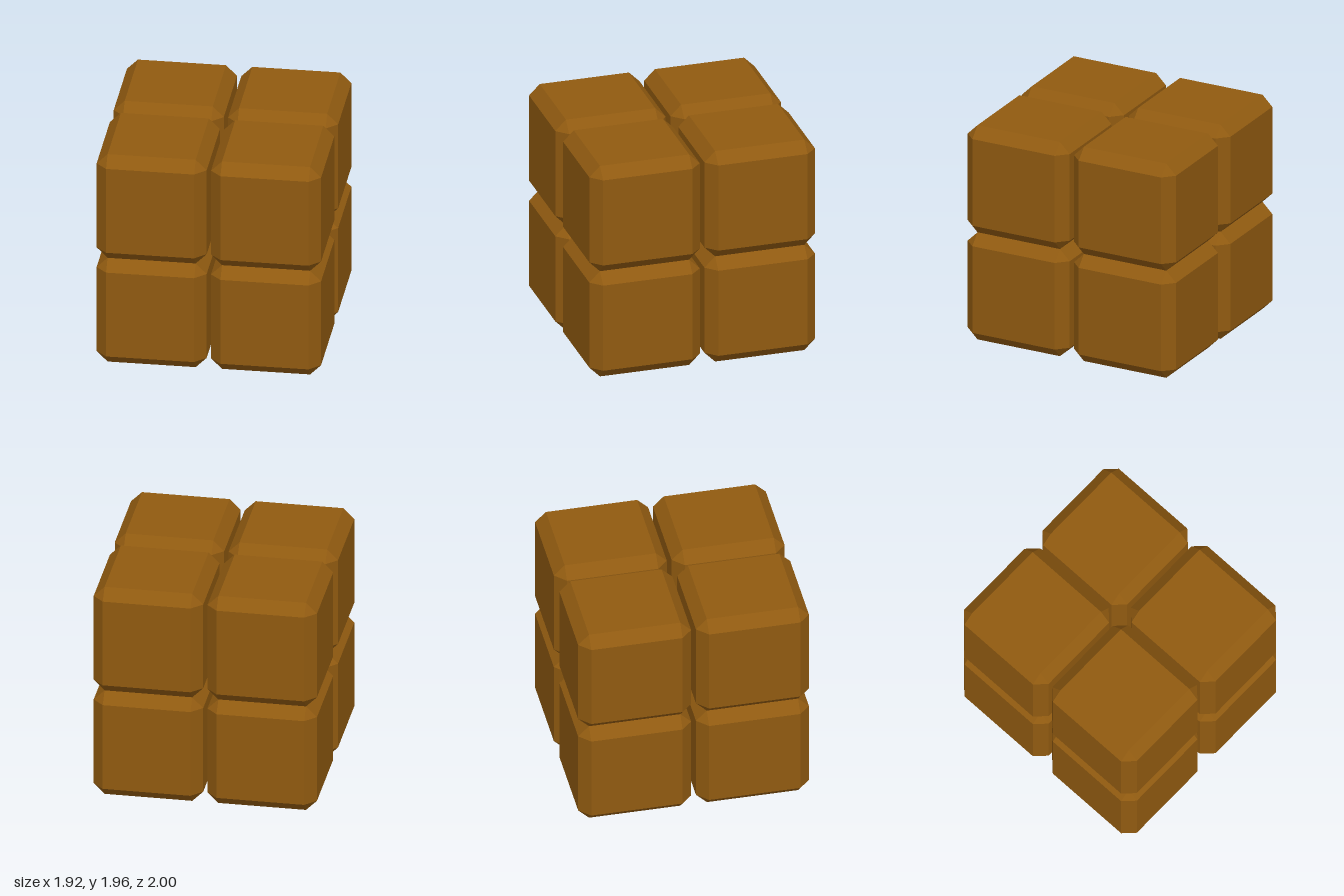
import * as THREE from 'three';
import { ConvexGeometry } from 'three/addons/geometries/ConvexGeometry.js';

// Box with all edges cut at 45 degrees and a triangle at each corner
function chamferedBox(w, h, d, c) {
  const points = [];
  for (const sx of [-1, 1]) for (const sy of [-1, 1]) for (const sz of [-1, 1]) {
    const x = w / 2, y = h / 2, z = d / 2;
    points.push(
      new THREE.Vector3(sx * x, sy * (y - c), sz * (z - c)),
      new THREE.Vector3(sx * (x - c), sy * y, sz * (z - c)),
      new THREE.Vector3(sx * (x - c), sy * (y - c), sz * z)
    );
  }
  return new ConvexGeometry(points);
}

export function createModel() {
  const model = new THREE.Group();
  model.name = 'blockStack';
  const material = new THREE.MeshStandardMaterial({ color: 0x905a10, flatShading: true });
  const W = 0.942, H = 0.982, D = 0.979;
  const gap = 0.0185; // half the space between neighbouring columns
  const geometry = chamferedBox(W, H, D, 0.094);

  // Two layers of four blocks; layers touch, columns are spaced
  for (const layer of [0, 1]) for (const sx of [-1, 1]) for (const sz of [-1, 1]) {
    const block = new THREE.Mesh(geometry, material);
    block.name = (layer ? 'upper' : 'lower') + (sz > 0 ? 'Front' : 'Back') + (sx > 0 ? 'Left' : 'Right') + 'Block';
    block.position.set(sx * (gap + W / 2), H * (layer + 0.5), sz * (1 - D / 2));
    model.add(block);
  }
  return model;
}
